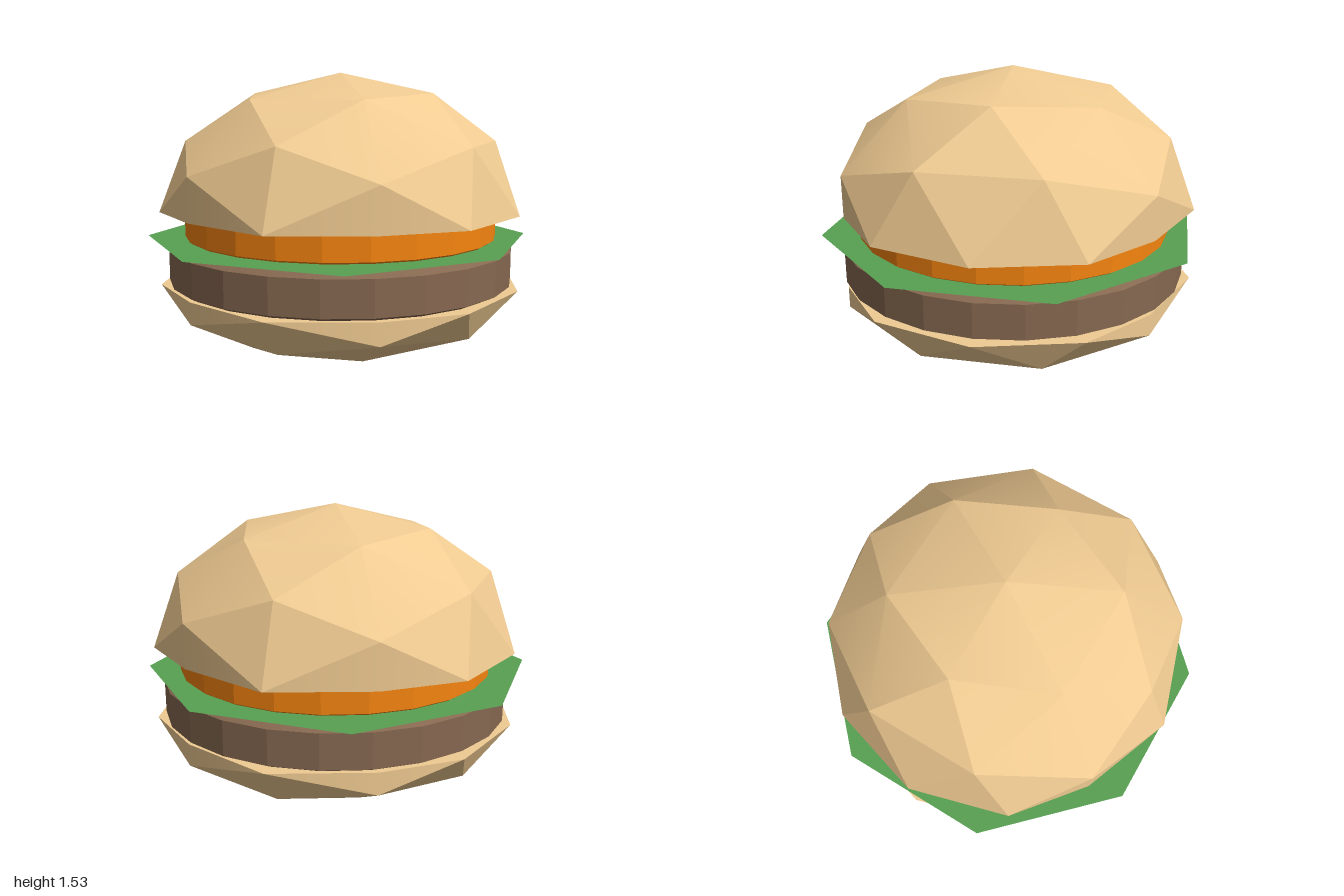
import * as THREE from 'three';
import { toCreasedNormals } from 'three/addons/utils/BufferGeometryUtils.js';

const material = (color, extra = {}) => new THREE.MeshStandardMaterial({ color, ...extra });

function addPart(group, name, geometry, mat, y = 0) {
  const mesh = new THREE.Mesh(geometry, mat);
  mesh.name = name;
  mesh.position.y = y;
  group.add(mesh);
}

// Faceted half ball: the far half is pressed flat onto y = 0
function halfBall(height, sign) {
  const geometry = new THREE.IcosahedronGeometry(1, 1);
  const p = geometry.attributes.position;
  for (let i = 0; i < p.count; i++) {
    p.setY(i, sign * Math.max(0, sign * p.getY(i)) * height);
  }
  return toCreasedNormals(geometry, 0.33);
}

// Bevelled disc turned from [radius, y] points
function disc(points) {
  const profile = points.map(([r, y]) => new THREE.Vector2(r, y));
  return toCreasedNormals(new THREE.LatheGeometry(profile, 24), 0.2);
}

// Thin eight-sided leaf with a slightly raised, uneven surface
function leaf() {
  const geometry = new THREE.CircleGeometry(1.065, 8, Math.PI / 8);
  geometry.rotateX(-Math.PI / 2);
  const p = geometry.attributes.position;
  for (let i = 0; i < p.count; i++) {
    p.setY(i, i === 0 ? 0.015 : i % 2 ? 0 : 0.004);
  }
  p.setY(p.count - 1, p.getY(1));
  geometry.translate(-0.015, 0, 0.01);
  geometry.computeVertexNormals();
  return geometry;
}

export function createModel() {
  const burger = new THREE.Group();
  burger.name = 'burger';
  const bread = material(0xf0cb92);

  addPart(burger, 'bottomBun', halfBall(0.38, -1), bread, 0.38);
  addPart(burger, 'patty', disc([
    [0, 0.382], [0.92, 0.382], [0.955, 0.4], [0.955, 0.585], [0.89, 0.625], [0, 0.625],
  ]), material(0x866850));
  addPart(burger, 'lettuce', leaf(), material(0x58a052, { side: THREE.DoubleSide }), 0.626);
  addPart(burger, 'cheese', disc([
    [0, 0.632], [0.85, 0.632], [0.865, 0.642], [0.865, 0.765], [0.845, 0.778], [0, 0.778],
  ]), material(0xf58410));
  addPart(burger, 'topBun', halfBall(0.75, 1), bread, 0.78);

  return burger;
}
